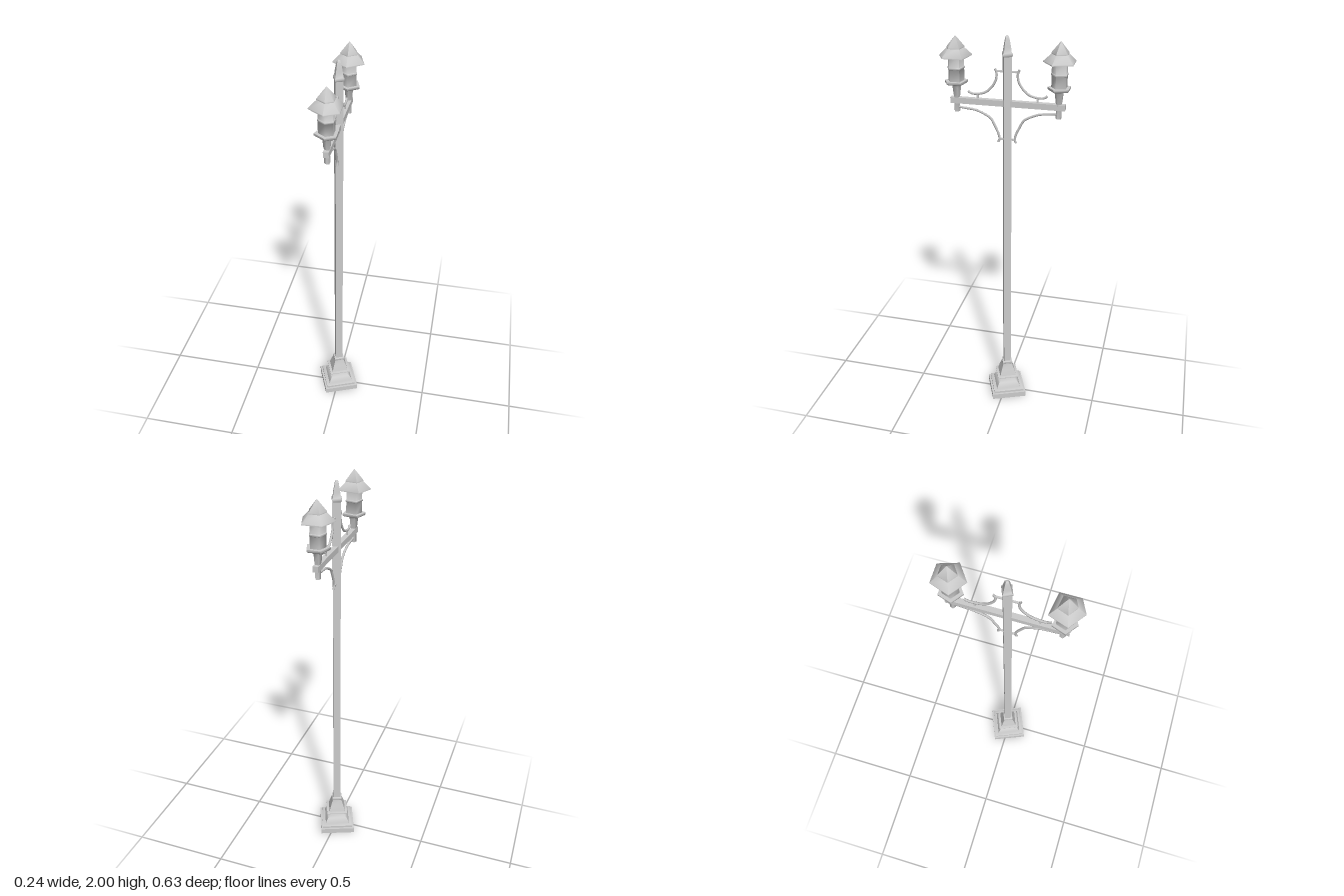
import * as THREE from 'three';
import { toCreasedNormals } from 'three/addons/utils/BufferGeometryUtils.js';

const material = new THREE.MeshStandardMaterial({ color: 0xcccccc, side: THREE.DoubleSide });
const SQUARE = [67.5, 157.5, 247.5, 337.5];
const CENTRE_Z = -0.008;
const ARM = 0.245; // lamp distance from the pole

// Low-poly turned shape: [radius, y] profile from bottom to top, corners at the given angles
function turned(name, profile, angles, crease) {
  const at = ([r, y], deg) => {
    const a = THREE.MathUtils.degToRad(deg);
    return [r * Math.sin(a), y, r * Math.cos(a)];
  };
  const pos = [];
  for (let i = 0; i < profile.length - 1; i++) {
    const lo = profile[i], hi = profile[i + 1];
    angles.forEach((a, k) => {
      const b = angles[(k + 1) % angles.length];
      if (lo[0] > 0) pos.push(...at(lo, a), ...at(lo, b), ...at(hi, b));
      if (hi[0] > 0) pos.push(...at(lo, a), ...at(hi, b), ...at(hi, a));
    });
  }
  let geo = new THREE.BufferGeometry();
  geo.setAttribute('position', new THREE.Float32BufferAttribute(pos, 3));
  geo = toCreasedNormals(geo, crease);
  return named(name, geo);
}

function named(name, geo) {
  const mesh = new THREE.Mesh(geo, material);
  mesh.name = name;
  return mesh;
}

function box(name, w, h, d, y, z) {
  const mesh = named(name, new THREE.BoxGeometry(w, h, d));
  mesh.position.set(0, y, z);
  return mesh;
}

// Bent iron bar through [distance from pole, y] points
function bar(name, points, side) {
  const path = new THREE.CatmullRomCurve3(points.map(([d, y]) => new THREE.Vector3(0, y, d * side)));
  return named(name, new THREE.TubeGeometry(path, 18, 0.006, 5));
}

function lamp(name, angles) {
  const group = new THREE.Group();
  group.name = name;
  group.add(
    turned('lampStem', [[0, 1.63], [0.014, 1.63], [0.014, 1.7], [0.017, 1.71], [0.021, 1.75],
      [0.03, 1.766], [0, 1.766]], angles, 1.3),
    turned('lampTray', [[0, 1.763], [0.05, 1.763], [0.057, 1.768], [0.057, 1.778], [0, 1.778]], angles, 0.9),
    turned('lampBody', [[0.039, 1.775], [0.039, 1.832], [0.042, 1.834], [0.042, 1.842],
      [0.039, 1.844], [0.039, 1.9]], angles, 1.3),
    turned('lampRoof', [[0, 1.893], [0.079, 1.89], [0.079, 1.895], [0.037, 1.935], [0, 1.935]], angles, 0.95),
    turned('lampCap', [[0, 1.93], [0.043, 1.93], [0.043, 1.935], [0.012, 1.973], [0, 1.987]], angles, 0.95)
  );
  return group;
}

export function createModel() {
  const model = new THREE.Group();
  model.name = 'streetLamp';
  const post = new THREE.Group();
  post.name = 'post';
  post.position.z = CENTRE_Z;
  model.add(post);

  // Stepped foot, flared collar, pole and finial
  post.add(
    turned('foot', [[0, 0], [0.131, 0], [0.131, 0.03], [0.117, 0.031], [0.117, 0.042], [0.108, 0.046],
      [0.093, 0.047], [0.086, 0.062], [0.073, 0.076], [0.057, 0.084], [0.034, 0.086], [0.034, 0.11]], SQUARE, 0.9),
    turned('collar', [[0.034, 0.105], [0.08, 0.109], [0.08, 0.113], [0.062, 0.116], [0.05, 0.15],
      [0.034, 0.185], [0.037, 0.188], [0.037, 0.198], [0.026, 0.202]], SQUARE, 0.9),
    turned('pole', [[0.026, 0.19], [0.026, 1.92]], SQUARE, 0.9),
    turned('finial', [[0.026, 1.905], [0.031, 1.911], [0.031, 1.921], [0.025, 1.926], [0.021, 1.95],
      [0.013, 1.985], [0.008, 1.997], [0, 2]], SQUARE, 0.9),
    box('crossArm', 0.026, 0.028, 0.55, 1.685, 0)
  );

  // Scrolled brackets on both sides of the pole
  for (const side of [1, -1]) {
    post.add(
      bar('upperBracket', [[0.058, 1.845], [0.052, 1.835], [0.052, 1.8], [0.068, 1.767], [0.1, 1.735],
        [0.14, 1.722], [0.175, 1.723], [0.189, 1.732]], side),
      bar('lowerBracket', [[0.235, 1.652], [0.2, 1.648], [0.155, 1.643], [0.115, 1.628], [0.08, 1.607],
        [0.062, 1.575], [0.045, 1.54], [0.037, 1.51], [0.044, 1.492]], side),
      box('upperPin', 0.008, 0.008, 0.04, 1.835, side * 0.035),
      box('lowerPin', 0.008, 0.008, 0.03, 1.508, side * 0.026),
      box('armPin', 0.008, 0.03, 0.008, 1.708, side * 0.143)
    );
  }

  // Five-sided lanterns, the front one slightly uneven
  const frontLamp = lamp('frontLamp', [0, 54, 128, 214, 287.5]);
  frontLamp.position.z = ARM;
  const backLamp = lamp('backLamp', [0, 72, 145, 215, 288]);
  backLamp.position.z = -ARM;
  post.add(frontLamp, backLamp);
  return model;
}
